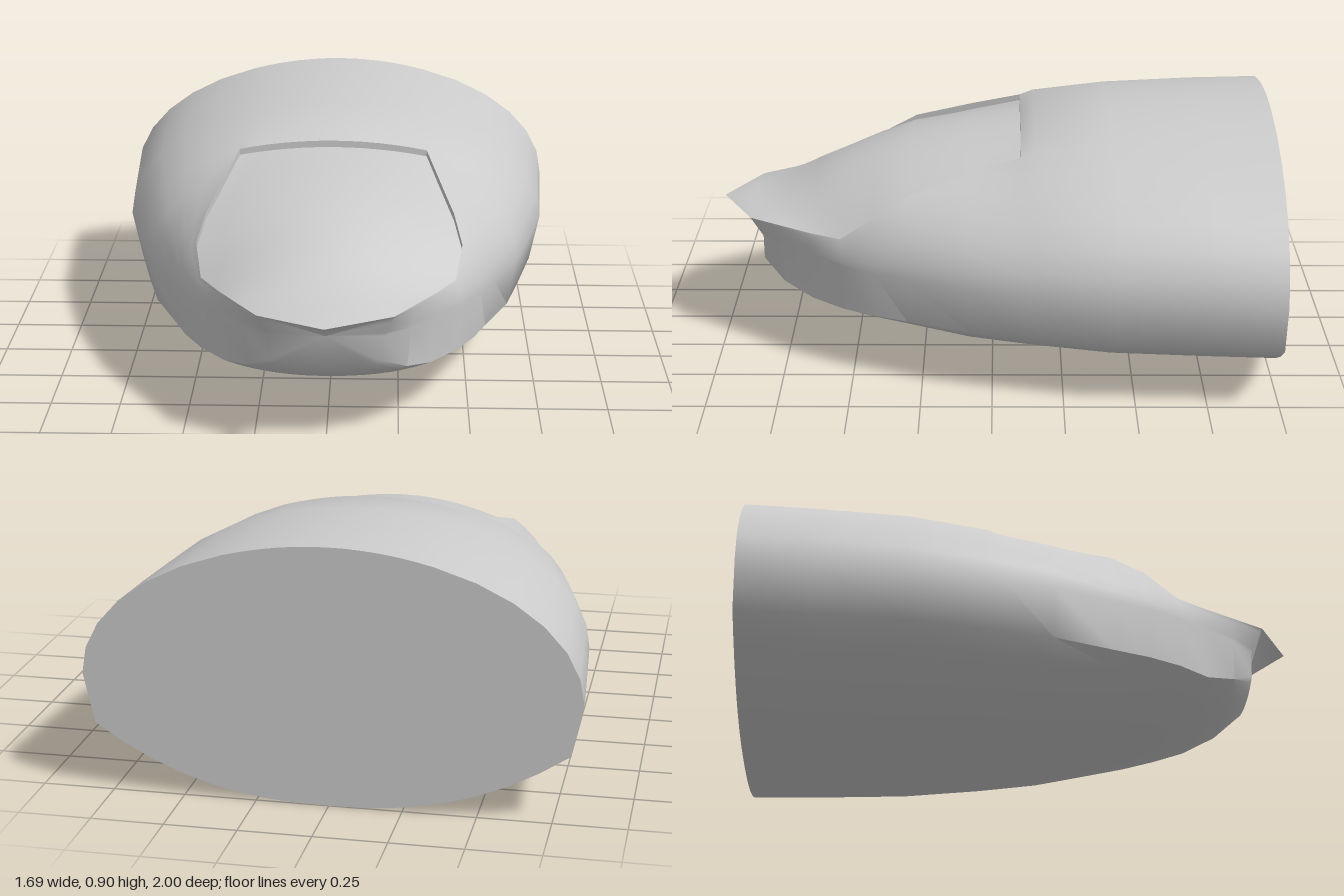
import * as THREE from 'three';
import { toCreasedNormals } from 'three/addons/utils/BufferGeometryUtils.js';

const MID = 0.42;              // height of the widest line
const LOW = 8, SIDE = 6, TOP = 6; // divisions of each part of a half section
const TOP_START = LOW + 1 + SIDE + 1;

// Cross-sections from back to front
// z, half width, bottom, nail half width, nail edge height, crown height, fold height, nail z
const folded = [
  [-1.00, 0.845, 0.005, 0.35, 0.861, 0.907, 0],
  [-0.75, 0.828, 0.008, 0.35, 0.855, 0.902, 0],
  [-0.42, 0.805, 0.018, 0.35, 0.838, 0.885, 0],
  [-0.15, 0.743, 0.036, 0.35, 0.805, 0.855, 0],
  [-0.10, 0.731, 0.041, 0.35, 0.785, 0.820, 0],
];
const nailed = [
  [-0.10, 0.731, 0.041, 0.35, 0.762, 0.795, 0.023],
  [0.08, 0.685, 0.060, 0.39, 0.712, 0.775, 0.025],
  [0.30, 0.590, 0.100, 0.443, 0.645, 0.745, 0.025],
  [0.42, 0.540, 0.126, 0.47, 0.575, 0.710, 0.022],
  [0.54, 0.470, 0.158, 0.445, 0.505, 0.668, 0.005],
  [0.65, 0.375, 0.190, 0.378, 0.505, 0.620, 0],
  [0.76, 0.290, 0.237, 0.308, 0.505, 0.550, 0],
  [0.84, 0.195, 0.290, 0.230, 0.505, 0.530, 0, 0.88],
];

// Mirrors a right-hand half section into a closed ring
function mirror(half) {
  const left = half.slice(1, -1).reverse().map(([x, y, z]) => [-x, y, z]);
  return [...half, ...left];
}

function section([z, w, bottom, nw, edge, crown, fold, nailZ = z]) {
  const half = [];
  const corner = Math.max(0.245, bottom + 0.04);
  // Belly
  for (let i = 0; i <= LOW; i++) {
    const v = i / LOW;
    half.push([0.955 * w * v, bottom + (corner - bottom) * v ** 2.4, z]);
  }
  // Flank, rising to the lip of the nail fold
  const arc = Math.acos(Math.min(nw / w, 0.97));
  for (let i = 0; i <= SIDE; i++) {
    const s = i / SIDE;
    half.push([
      w * Math.cos(s * arc) + s * (nw - w * Math.cos(arc)),
      MID + (edge + fold - MID) * Math.sin(s * arc) / Math.sin(arc),
      z + (nailZ - z) * s,
    ]);
  }
  // Crown, or nail plate
  for (let i = 0; i <= TOP; i++) {
    const u = 1 - i / TOP;
    half.push([nw * u, edge + (crown - edge) * (1 - u * u), nailZ]);
  }
  return mirror(half);
}

// Joins the rings, keeping only the quads that pass the test
function loft(rings, keep) {
  const pos = [];
  const n = rings[0].length;
  const same = (p, q) => p.every((c, k) => Math.abs(c - q[k]) < 1e-6);
  const tri = (a, b, c) => {
    if (!same(a, b) && !same(b, c) && !same(a, c)) pos.push(...a, ...b, ...c);
  };
  for (let i = 0; i < rings.length - 1; i++) {
    for (let j = 0; j < n; j++) {
      if (!keep(i, j)) continue;
      const k = (j + 1) % n;
      const [a, b, c, d] = [rings[i][j], rings[i][k], rings[i + 1][k], rings[i + 1][j]];
      tri(a, b, c);
      tri(a, c, d);
    }
  }
  const geo = new THREE.BufferGeometry();
  geo.setAttribute('position', new THREE.Float32BufferAttribute(pos, 3));
  return toCreasedNormals(geo, 0.85);
}

export function createModel() {
  const group = new THREE.Group();
  group.name = 'fingertip';
  const material = new THREE.MeshStandardMaterial({ color: 0xcccccc });

  const rings = [...folded, ...nailed].map(section);
  const halfCount = TOP_START + TOP + 1;
  const halfOf = (fn) => mirror(Array.from({ length: halfCount }, (_, j) => fn(j)));
  // Flat cut at the back, blunt pad and pointed nail at the front
  rings.unshift(halfOf(() => [0, MID, -1]));
  rings.push(halfOf((j) => (j < TOP_START ? [0, 0.425, 0.86] : [0, 0.505, 1])));

  const firstNail = folded.length + 1;
  const isNail = (i, j) => i >= firstNail && j >= TOP_START && j < TOP_START + 2 * TOP;

  const add = (name, keep) => {
    const mesh = new THREE.Mesh(loft(rings, keep), material);
    mesh.name = name;
    group.add(mesh);
  };
  add('finger', (i, j) => !isNail(i, j));
  add('nail', isNail);
  return group;
}
